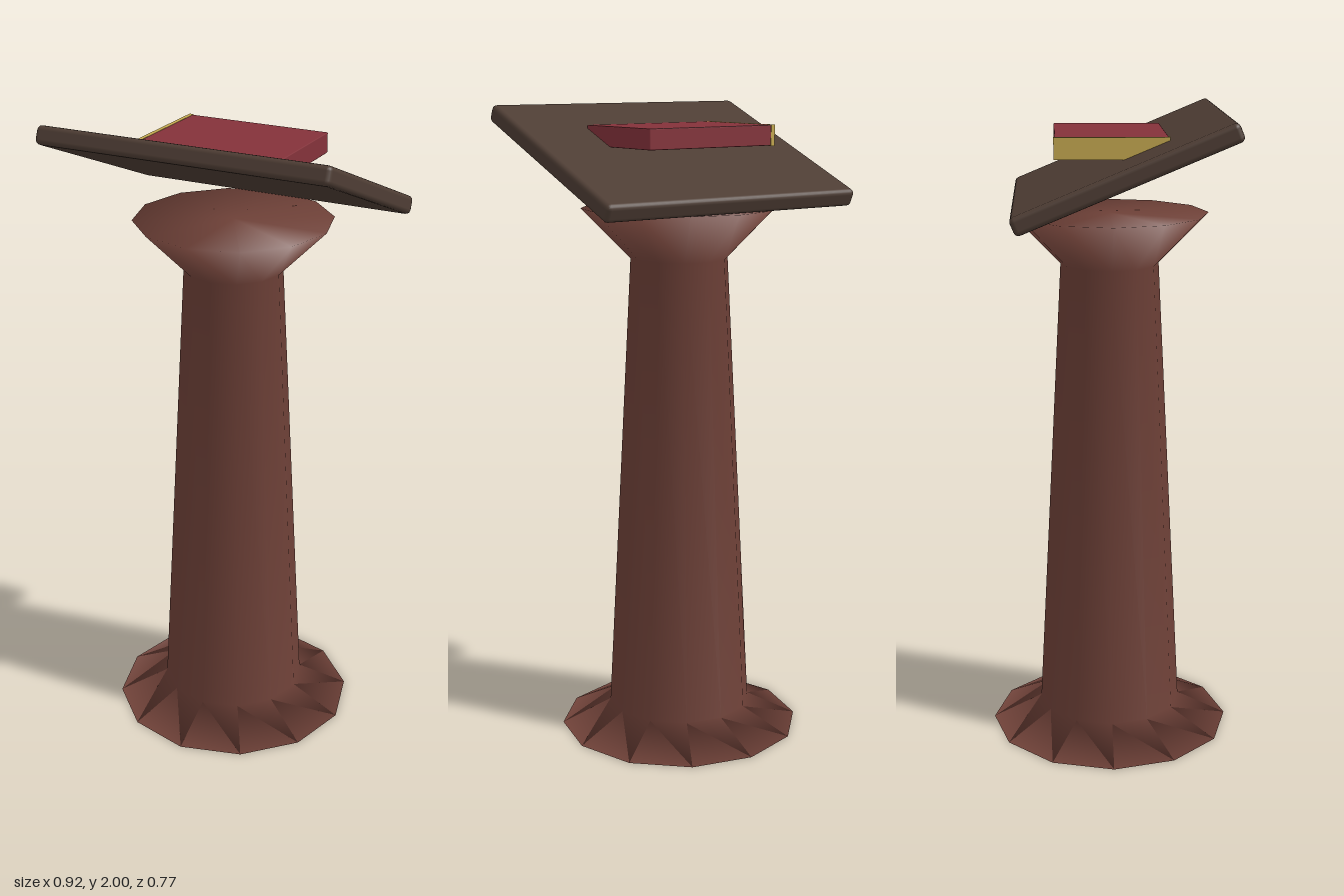
import * as THREE from 'three';
import { RoundedBoxGeometry } from 'three/addons/geometries/RoundedBoxGeometry.js';

function addPart(group, name, geometry, color, x, y, z) {
  const mesh = new THREE.Mesh(geometry, new THREE.MeshStandardMaterial({ color }));
  mesh.name = name;
  mesh.position.set(x, y, z);
  group.add(mesh);
  return mesh;
}

export function createModel() {
  const model = new THREE.Group();
  model.name = 'lectern';

  // Turned pedestal: flared foot, tapering shaft and flared head, smooth over 12 sides
  const profile = [
    [0, 0], [0.385, 0], [0.228, 0.077], [0.152, 1.535], [0.305, 1.69], [0, 1.69],
  ].map(([r, y]) => new THREE.Vector2(r, y));
  addPart(model, 'pedestal', new THREE.LatheGeometry(profile, 12), 0x6d4037, 0, 0, 0);

  // Tilted reading board, raised toward the front
  const board = addPart(model, 'readingBoard',
    new RoundedBoxGeometry(0.92, 0.056, 0.692, 2, 0.015), 0x4e3d34, 0, 1.845, 0.03);
  board.rotation.x = -Math.PI / 8;

  // Closed book lying level, partly sunk into the board
  const book = new THREE.Group();
  book.name = 'book';
  book.position.set(0, 1.909, -0.002);
  model.add(book);
  addPart(book, 'bookCover', new RoundedBoxGeometry(0.456, 0.062, 0.334, 1, 0.003), 0x84323a, 0, 0, 0);
  addPart(book, 'bookSpine', new THREE.BoxGeometry(0.014, 0.064, 0.338), 0xc4a84f, -0.23, 0, 0);

  return model;
}
